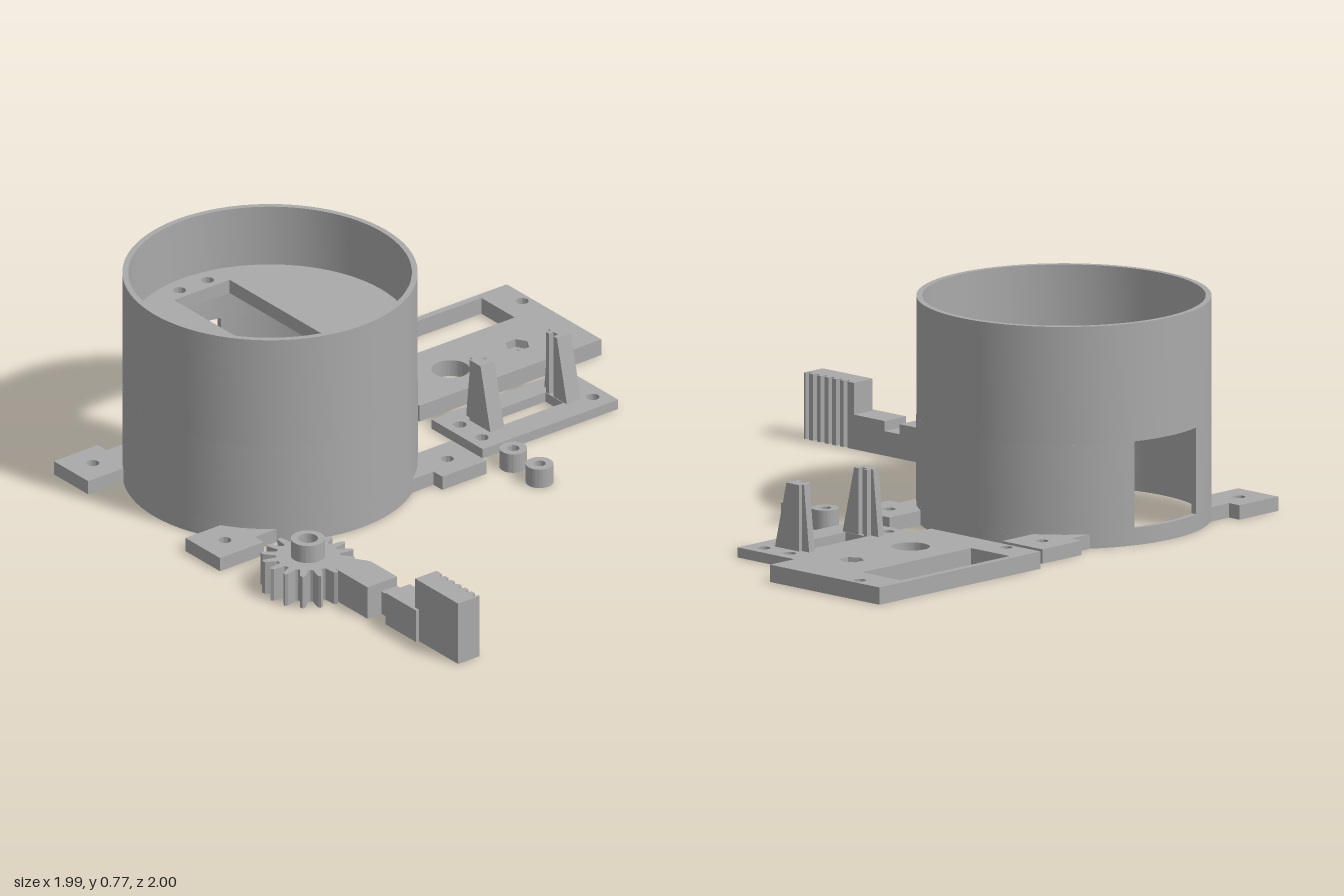
import * as THREE from 'three';
import { toCreasedNormals } from 'three/addons/utils/BufferGeometryUtils.js';

export function createModel() {
  const model = new THREE.Group();
  const grey = new THREE.MeshStandardMaterial({ color: 0xaaaaaa });
  grey.name = 'plain grey';

  const add = (name, geometry, parent = model) => {
    const mesh = new THREE.Mesh(geometry, grey);
    mesh.name = name;
    parent.add(mesh);
    return mesh;
  };
  const group = (name, x = 0, z = 0) => {
    const g = new THREE.Group();
    g.name = name;
    g.position.set(x, 0, z);
    model.add(g);
    return g;
  };

  // Plan outlines use (x, z); slab() raises them from y0 to y1
  const poly = (pts) => new THREE.Shape(pts.map(([x, z]) => new THREE.Vector2(x, -z)));
  const rect = (x0, x1, z0, z1) => poly([[x0, z1], [x1, z1], [x1, z0], [x0, z0]]);
  const disc = (x, z, r) => new THREE.Shape().absarc(x, -z, r, 0, Math.PI * 2);
  const slab = (shape, y0, y1, holes = []) => {
    shape.holes.push(...holes);
    const g = new THREE.ExtrudeGeometry(shape, { depth: y1 - y0, bevelEnabled: false, curveSegments: 40 });
    g.rotateX(-Math.PI / 2).translate(0, y0, 0);
    return toCreasedNormals(g, 0.5);
  };

  // Round housing with a rectangular opening in the -x wall
  const R = 0.5, RI = 0.48, W = 0.15;
  const housing = group('housing', -0.497, 0.42);
  add('wallBase', slab(disc(0, 0, R), 0, 0.06, [disc(0, 0, RI)]), housing);
  const ao = Math.PI - Math.asin(W / R), ai = Math.PI - Math.asin(W / RI);
  const openWall = new THREE.Shape();
  openWall.absarc(0, 0, R, -ao, ao, false);
  openWall.absarc(0, 0, RI, ai, -ai, true);
  openWall.closePath();
  add('wallAroundOpening', slab(openWall, 0.06, 0.36), housing);
  add('wallTop', slab(disc(0, 0, R), 0.36, 0.77, [disc(0, 0, RI)]), housing);

  // Inner floor with motor window and screw holes
  const floorHoles = [rect(-0.373, 0.127, -0.12, 0.12)];
  for (const x of [-0.418, 0.172]) for (const z of [-0.06, 0.06]) floorHoles.push(disc(x, z, 0.022));
  add('innerFloor', slab(disc(0, 0, 0.485), 0.5, 0.55, floorHoles), housing);

  // Four feet, each following the housing wall
  for (const sx of [-1, 1]) for (const sz of [-1, 1]) {
    const pts = [];
    for (let i = 0; i <= 8; i++) {
      const x = 0.265 + (0.405 - 0.265) * i / 8;
      pts.push([x, Math.sqrt(0.492 * 0.492 - x * x)]);
    }
    pts.push([0.405, 0.385], [0.453, 0.385], [0.453, 0.575], [0.265, 0.575]);
    const foot = poly(pts.map(([x, z]) => [sx * x, sz * z]));
    add('foot', slab(foot, 0, 0.05, [disc(sx * 0.36, sz * 0.48, 0.022)]), housing);
  }

  // Large mounting plate with a hexagonal nut recess
  const base = group('largePlate');
  const outline = () => rect(-1, -0.485, -1, -0.215);
  const plateHoles = () => [
    rect(-0.975, -0.793, -0.87, -0.34),
    disc(-0.872, -0.965, 0.022), disc(-0.872, -0.25, 0.022), disc(-0.63, -0.465, 0.065),
  ];
  const hex = [];
  for (let i = 0; i < 6; i++) {
    const a = Math.PI / 6 + i * Math.PI / 3;
    hex.push([-0.63 + 0.043 * Math.cos(a), -0.752 + 0.043 * Math.sin(a)]);
  }
  add('plateLower', slab(outline(), 0, 0.03, [...plateHoles(), disc(-0.63, -0.752, 0.022)]), base);
  add('plateUpper', slab(outline(), 0.03, 0.06, [...plateHoles(), poly(hex)]), base);

  // Small plate with two slotted, buttressed posts
  const bracket = group('smallPlate');
  const bracketHoles = [rect(-0.335, -0.237, -0.64, -0.375)];
  for (const x of [-0.33, -0.21]) for (const z of [-0.745, -0.267]) bracketHoles.push(disc(x, z, 0.023));
  add('bracketPlate', slab(rect(-0.42, -0.14, -0.8, -0.215), 0, 0.035, bracketHoles), bracket);
  const upright = (name, pts, z0, z1) => {
    const s = new THREE.Shape(pts.map(([x, y]) => new THREE.Vector2(x, y)));
    const g = new THREE.ExtrudeGeometry(s, { depth: z1 - z0, bevelEnabled: false });
    add(name, g.translate(0, 0, z0), bracket);
  };
  for (const s of [-1, 1]) {
    const mid = -0.5075;
    const span = (a, b) => [Math.min(mid + s * a, mid + s * b), Math.max(mid + s * a, mid + s * b)];
    upright('postBack', [[-0.335, 0.03], [-0.22, 0.03], [-0.275, 0.265], [-0.335, 0.265]], ...span(0.155, 0.195));
    upright('postCheek', [[-0.335, 0.03], [-0.318, 0.03], [-0.318, 0.265], [-0.335, 0.265]], ...span(0.135, 0.155));
    upright('postCheek', [[-0.295, 0.03], [-0.22, 0.03], [-0.275, 0.265], [-0.295, 0.265]], ...span(0.135, 0.155));
    upright('postRib', [[-0.37, 0.03], [-0.335, 0.03], [-0.335, 0.265], [-0.345, 0.265]], ...span(0.155, 0.182));
  }

  // Two spacer rings
  for (const x of [-0.03, 0.113]) {
    add('spacer', slab(disc(x, -0.26, 0.047), 0, 0.07, [disc(x, -0.26, 0.021)]));
  }

  // Gear with rounded teeth and a hollow hub
  const gear = group('gear', 0.23, 0.832);
  const teeth = 16, rim = [];
  const tooth = [[-0.5, 0.108], [-0.3, 0.112], [-0.22, 0.135], [-0.15, 0.154], [0, 0.161], [0.15, 0.154], [0.22, 0.135], [0.3, 0.112]];
  for (let i = 0; i < teeth; i++) for (const [t, r] of tooth) {
    const a = Math.PI / 2 + (i + t) * 2 * Math.PI / teeth;
    rim.push([r * Math.cos(a), r * Math.sin(a)]);
  }
  add('toothedWheel', slab(poly(rim), 0, 0.12), gear);
  add('hub', slab(disc(0, 0, 0.058), 0.12, 0.185, [disc(0, 0, 0.034)]), gear);

  // Stepped arm leading to the toothed rack
  const arm = group('arm');
  add('armRoot', slab(poly([[0.3, 0.755], [0.395, 0.693], [0.54, 0.693], [0.54, 0.82], [0.31, 0.82]]), 0, 0.12), arm);
  add('armNeck', slab(rect(0.54, 0.61, 0.693, 0.76), 0, 0.085), arm);
  add('armEnd', slab(rect(0.61, 0.775, 0.693, 0.797), 0, 0.12), arm);
  const rack = [[0.99, 0.785], [0.755, 0.785], [0.755, 0.693]];
  for (let i = 0; i < 6; i++) {
    const x = 0.785 + i * 0.036;
    rack.push([x, 0.693], [x + 0.004, 0.71], [x + 0.014, 0.71], [x + 0.018, 0.693]);
  }
  rack.push([0.99, 0.693]);
  add('rack', slab(poly(rack), 0, 0.23), arm);

  return model;
}
